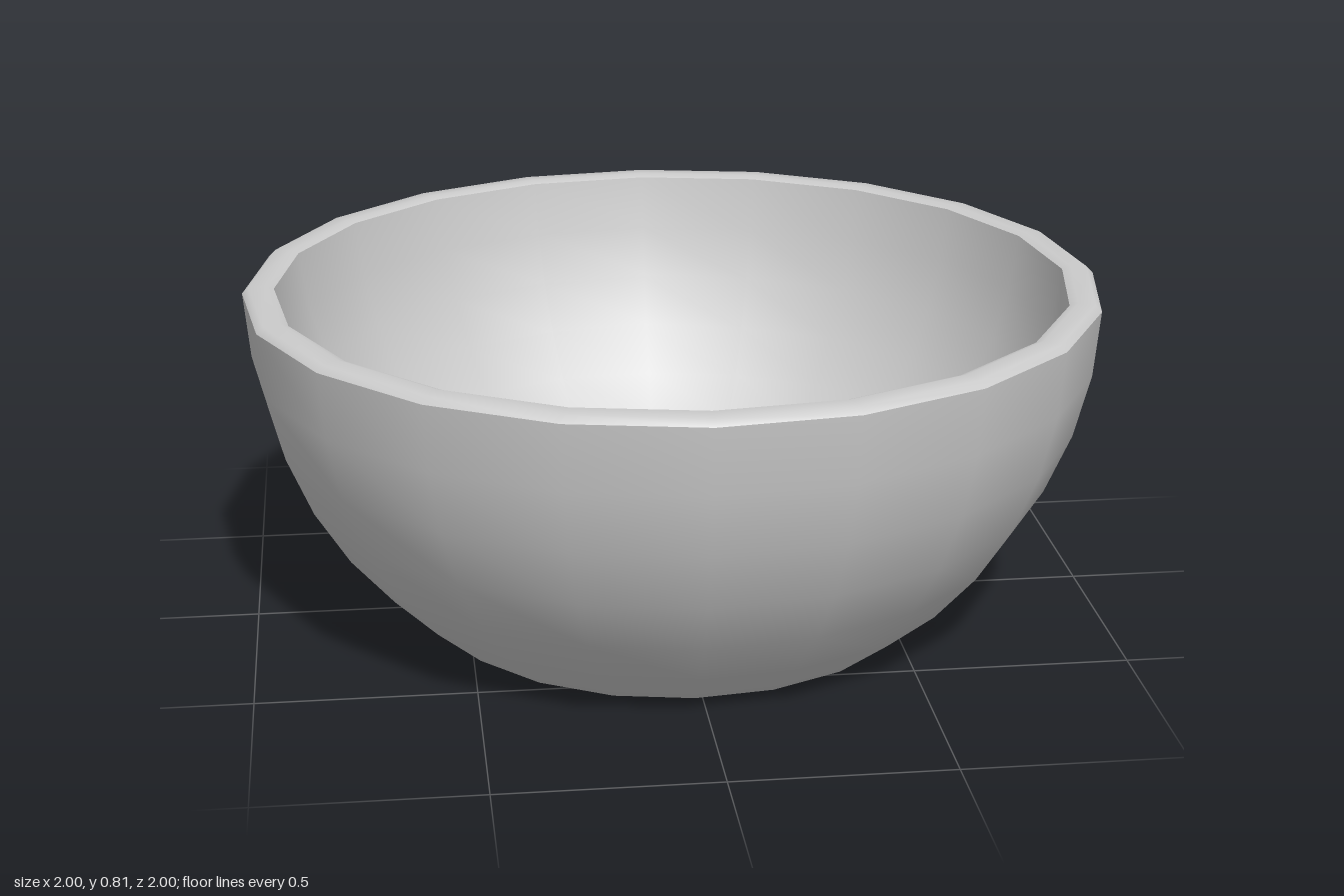
import * as THREE from 'three';

const SIDES = 20;
const TURN = -0.03; // slight twist of the facets about y

export function createModel() {
  const group = new THREE.Group();
  group.name = 'bowl';
  const material = new THREE.MeshStandardMaterial({ color: 0xcccccc });

  // Each part is its own lathe, so shading is smooth within it and sharp between parts
  const addPart = (name, points) => {
    const profile = points.map(([r, y]) => new THREE.Vector2(r, y));
    const mesh = new THREE.Mesh(new THREE.LatheGeometry(profile, SIDES, TURN), material);
    mesh.name = name;
    group.add(mesh);
  };

  // Points on a circle of radius R centred at height cy, between two heights
  const arc = (R, cy, y0, y1, steps) => {
    const a0 = Math.asin((y0 - cy) / R);
    const a1 = Math.asin((y1 - cy) / R);
    return Array.from({ length: steps + 1 }, (_, i) => {
      const a = a0 + ((a1 - a0) * i) / steps;
      return [R * Math.cos(a), cy + R * Math.sin(a)];
    });
  };

  const outer = arc(1, 0.81, 0, 0.795, 6);
  const inner = arc(0.93, 0.89, 0.805, 0.14, 6);

  addPart('base', [[0, 0], outer[0]]);
  addPart('outerWall', outer);
  // Softly rounded lip
  addPart('rim', [outer[6], [0.985, 0.81], [0.945, 0.812], inner[0]]);
  addPart('innerWall', inner);
  addPart('floor', [inner[6], [0, 0.14]]);

  return group;
}
